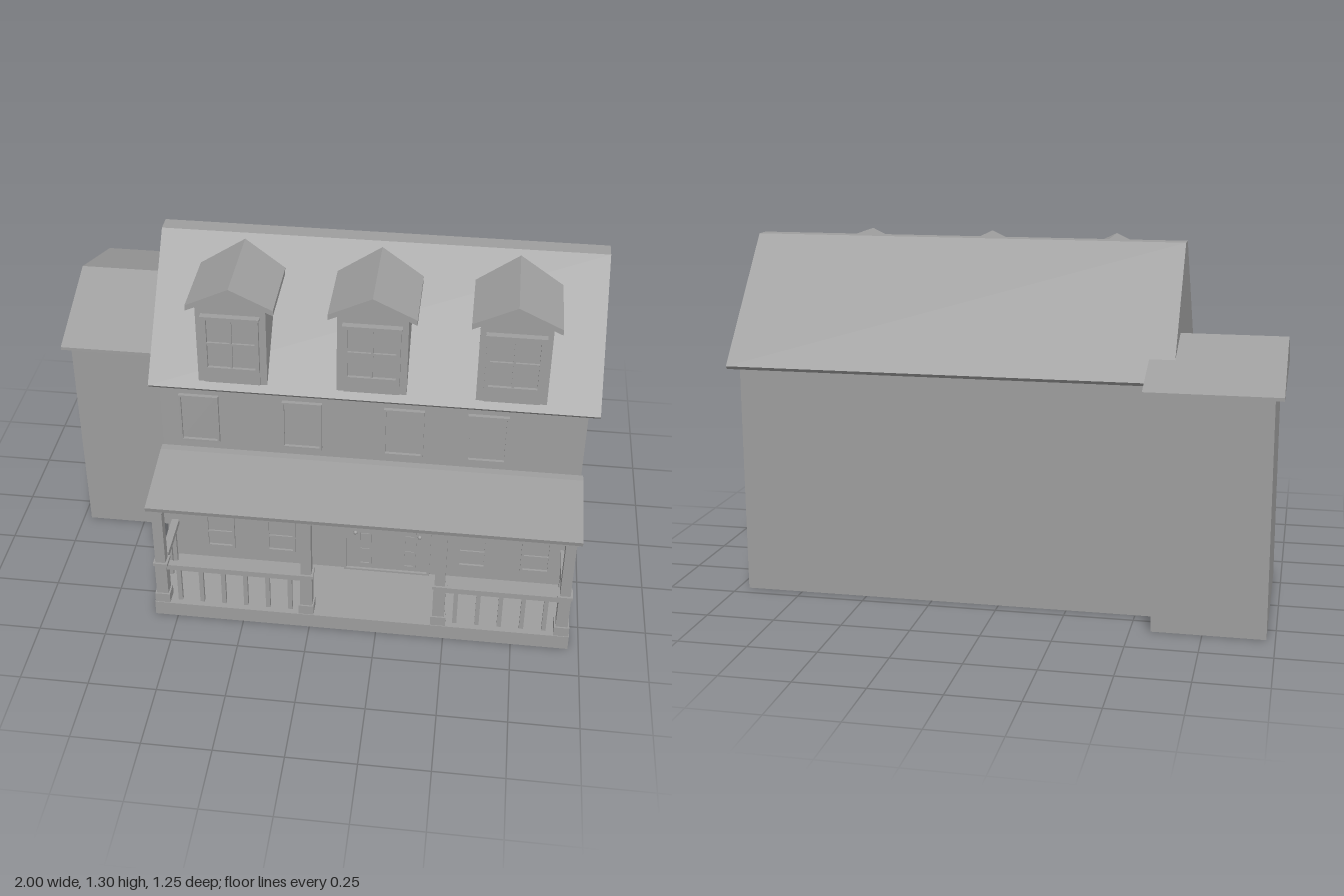
import * as THREE from 'three';

const stone = new THREE.MeshStandardMaterial({ color: 0x9e9e9e, side: THREE.DoubleSide });
stone.name = 'plain grey';

function add(parent, name, geo) {
  const m = new THREE.Mesh(geo, stone);
  m.name = name;
  parent.add(m);
  return m;
}

// box given by its min and max on each axis
function box(parent, name, x0, x1, y0, y1, z0, z1) {
  const g = new THREE.BoxGeometry(x1 - x0, y1 - y0, z1 - z0);
  g.translate((x0 + x1) / 2, (y0 + y1) / 2, (z0 + z1) / 2);
  return add(parent, name, g);
}

const poly = pts => new THREE.Shape(pts.map(p => new THREE.Vector2(p[0], p[1])));
const extrude = (shape, depth) =>
  new THREE.ExtrudeGeometry(shape, { depth, bevelEnabled: false, curveSegments: 10 });

// profile of [z, y] points swept along x
function sweepX(parent, name, pts, x0, x1) {
  const g = extrude(poly(pts), x1 - x0);
  g.rotateY(-Math.PI / 2);
  g.translate(x1, 0, 0);
  return add(parent, name, g);
}

// profile of [x, y] points swept along z
function sweepZ(parent, name, pts, z0, z1) {
  const g = extrude(poly(pts), z1 - z0);
  g.translate(0, 0, z0);
  return add(parent, name, g);
}

// four walls, open below and above
function walls(parent, name, x0, x1, y0, y1, z0, z1) {
  const c = [[x0, z1], [x1, z1], [x1, z0], [x0, z0]];
  const pos = [];
  c.forEach(([ax, az], i) => {
    const [bx, bz] = c[(i + 1) % 4];
    pos.push(ax, y0, az, bx, y0, bz, bx, y1, bz, ax, y0, az, bx, y1, bz, ax, y1, az);
  });
  const g = new THREE.BufferGeometry();
  g.setAttribute('position', new THREE.Float32BufferAttribute(pos, 3));
  g.computeVertexNormals();
  return add(parent, name, g);
}

// framed window facing +z with its bottom centre at the group's origin
function makeWindow(name, w, h, cols, rows, t = 0.01, d = 0.012) {
  const g = new THREE.Group();
  g.name = name;
  const a = w / 2;
  const s = poly([[-a, 0], [a, 0], [a, h], [-a, h]]);
  s.holes.push(poly([[-a + t, t], [-a + t, h - t], [a - t, h - t], [a - t, t]]));
  add(g, 'windowFrame', extrude(s, d));
  box(g, 'windowPane', -a + t, a - t, t, h - t, 0, 0.003);
  for (let i = 1; i < cols; i++) {
    const x = -a + (w * i) / cols;
    box(g, 'windowBar', x - 0.004, x + 0.004, t, h - t, 0.003, d * 0.75);
  }
  for (let i = 1; i < rows; i++) {
    const y = (h * i) / rows;
    box(g, 'windowBar', -a + t, a - t, y - 0.004, y + 0.004, 0.003, d * 0.75);
  }
  return g;
}

function place(parent, obj, x, y, z, ry = 0) {
  obj.position.set(x, y, z);
  obj.rotation.y = ry;
  parent.add(obj);
}

function dormer(cx) {
  const g = new THREE.Group();
  g.name = 'dormer';
  sweepZ(g, 'dormerWalls', [[-0.125, 0.87], [0.125, 0.87], [0.125, 1.199], [0, 1.257], [-0.125, 1.199]], 0, 0.315);
  sweepZ(g, 'dormerRoof', [[-0.155, 1.185], [0, 1.257], [0.155, 1.185], [0.155, 1.206], [0, 1.28], [-0.155, 1.206]], -0.025, 0.335);
  place(g, makeWindow('dormerWindow', 0.2, 0.225, 2, 2, 0.014, 0.015), 0, 0.935, 0.315);
  box(g, 'dormerSill', -0.1, 0.1, 0.88, 0.935, 0.31, 0.321);
  box(g, 'dormerLintel', -0.105, 0.105, 1.157, 1.166, 0.315, 0.34);
  g.position.x = cx;
  return g;
}

function porchPost(x) {
  const g = new THREE.Group();
  g.name = 'porchPost';
  // half width, bottom, top
  [[0.028, 0.06, 0.1], [0.022, 0.1, 0.235], [0.027, 0.235, 0.248], [0.019, 0.248, 0.49], [0.024, 0.49, 0.506]]
    .forEach(([r, y0, y1]) => box(g, 'postSection', -r, r, y0, y1, -r, r));
  g.position.set(x, 0, 0.587);
  return g;
}

// railing along local x from 0 to len
function railing(len, count) {
  const g = new THREE.Group();
  g.name = 'railing';
  box(g, 'handrail', 0, len, 0.212, 0.235, -0.014, 0.014);
  for (let i = 0; i < count; i++) {
    const x = (len * (i + 0.5)) / count;
    box(g, 'baluster', x - 0.008, x + 0.008, 0.06, 0.212, -0.008, 0.008);
  }
  return g;
}

function archShape(a, spring, top) {
  const s = new THREE.Shape();
  s.moveTo(-a, 0.06);
  s.lineTo(a, 0.06);
  s.lineTo(a, spring);
  s.absellipse(0, spring, a, top - spring, 0, Math.PI, false);
  s.lineTo(-a, 0.06);
  return s;
}

export function createModel() {
  const house = new THREE.Group();
  house.name = 'house';

  // walls
  walls(house, 'lowerWalls', -0.585, 0.96, 0, 0.51, -0.45, 0.34);
  walls(house, 'upperWalls', -0.585, 0.96, 0.51, 0.85, -0.45, 0.31);
  walls(house, 'wingWalls', -0.97, -0.572, 0, 0.85, -0.595, 0.1);

  // roofs
  sweepX(house, 'mainRoof', [[0.325, 0.843], [0.335, 0.855], [-0.04, 1.297], [-0.105, 1.297], [-0.483, 0.855], [-0.473, 0.843]], -0.62, 1);
  sweepX(house, 'wingRoof', [[0.13, 0.843], [0.13, 0.855], [-0.24, 0.992], [-0.625, 0.855], [-0.625, 0.843]], -1, -0.53);
  [-0.31, 0.19, 0.685].forEach(x => house.add(dormer(x)));

  // upper windows
  [-0.441, -0.061, 0.31, 0.612].forEach(x =>
    place(house, makeWindow('upperWindow', 0.146, 0.203, 1, 1, 0.008, 0.015), x, 0.61, 0.31));

  // lower front windows
  [-0.38, -0.144, 0.588, 0.828].forEach(x =>
    place(house, makeWindow('lowerWindow', 0.112, 0.294, 1, 4), x, 0.122, 0.34));

  // side windows
  [0.108, -0.278].forEach(z =>
    place(house, makeWindow('sideWindow', 0.115, 0.29, 1, 4), 0.96, 0.126, z, Math.PI / 2));

  // arched double door
  const door = new THREE.Group();
  door.name = 'door';
  const frame = archShape(0.165, 0.41, 0.492);
  frame.holes.push(poly([[-0.155, 0.068], [-0.155, 0.41], [0.155, 0.41], [0.155, 0.068]]));
  add(door, 'doorFrame', extrude(frame, 0.01));
  [-1, 1].forEach(s => {
    const panel = makeWindow('doorSidelight', 0.05, 0.3, 1, 4, 0.008, 0.008);
    place(door, panel, s * 0.085, 0.09, 0);
    const knob = add(door, 'doorKnob', new THREE.SphereGeometry(0.008, 10, 8));
    knob.position.set(s * 0.122, 0.25, 0.01);
  });
  place(house, door, 0.265, 0, 0.34);

  // porch
  box(house, 'porchFloor', -0.585, 0.96, 0, 0.06, 0.34, 0.618);
  sweepX(house, 'porchRoof', [[0.31, 0.505], [0.622, 0.505], [0.627, 0.523], [0.34, 0.573], [0.31, 0.573]], -0.59, 0.967);
  [-0.555, -0.012, 0.478, 0.93].forEach(x => house.add(porchPost(x)));
  place(house, railing(0.5, 6), -0.533, 0, 0.587);
  place(house, railing(0.41, 5), 0.498, 0, 0.587);
  [-0.555, 0.93].forEach(x => place(house, railing(0.225, 3), x, 0, 0.565, Math.PI / 2));

  return house;
}
